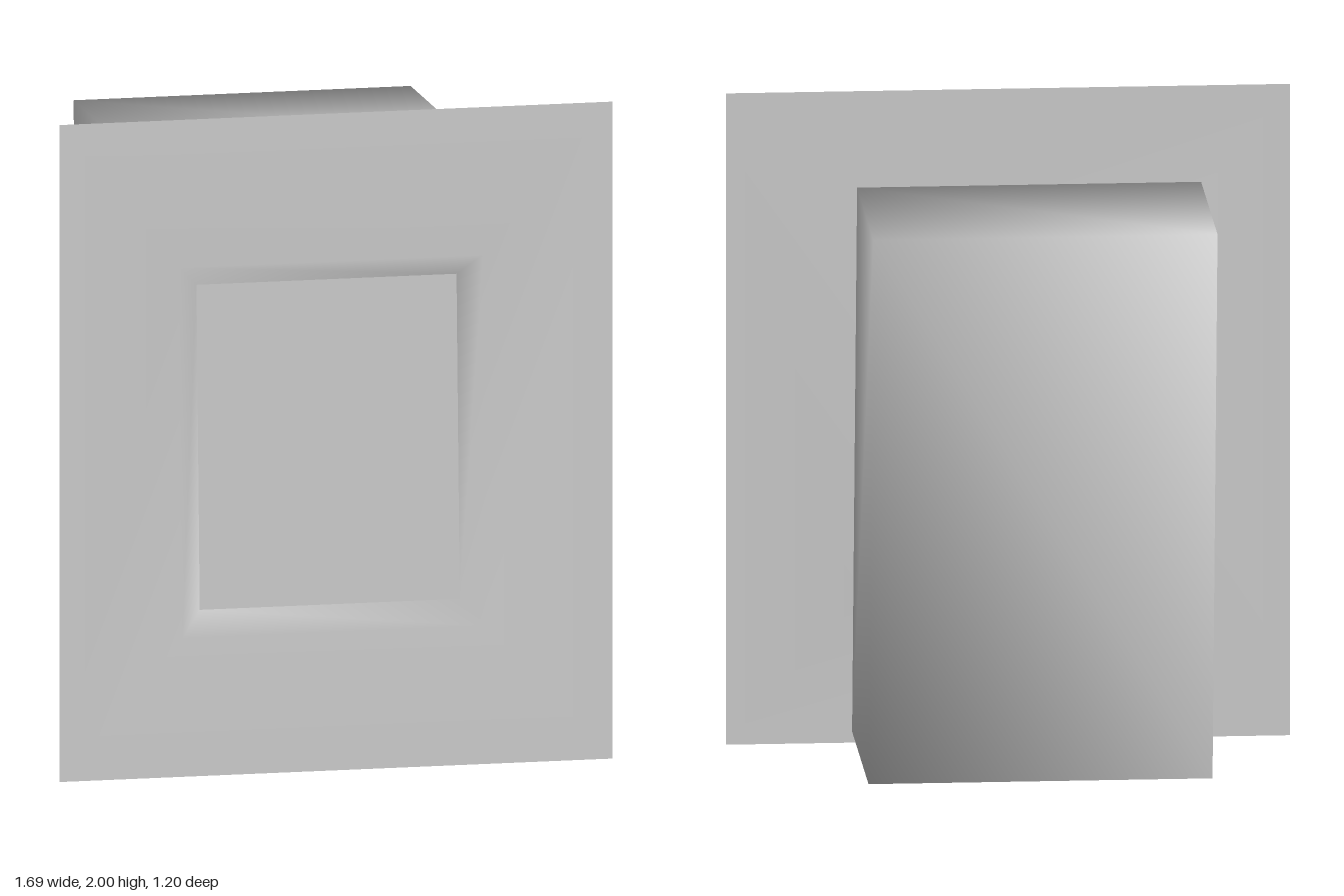
import * as THREE from 'three';

// Slightly sheared rectangle at depth z: the bottom edge is shifted by skew along x.
function ring(x0, x1, y0, y1, z, skew = 0) {
  return [[x0 + skew, y0, z], [x1 + skew, y0, z], [x1, y1, z], [x0, y1, z]];
}

// Skin a run of four-cornered rings with shared vertices for soft shading.
function loft(name, rings, { capFront = false, capBack = false, side = THREE.FrontSide } = {}) {
  const index = [];
  for (let r = 0; r < rings.length - 1; r++) {
    for (let j = 0; j < 4; j++) {
      const k = (j + 1) % 4;
      const a = r * 4 + j, b = r * 4 + k, c = b + 4, d = a + 4;
      index.push(a, d, c, a, c, b);
    }
  }
  if (capFront) index.push(0, 1, 2, 0, 2, 3);
  if (capBack) {
    const n = (rings.length - 1) * 4;
    index.push(n, n + 2, n + 1, n, n + 3, n + 2);
  }
  const geometry = new THREE.BufferGeometry();
  geometry.setAttribute('position', new THREE.Float32BufferAttribute(rings.flat(2), 3));
  geometry.setIndex(index);
  geometry.computeVertexNormals();
  const mesh = new THREE.Mesh(geometry, new THREE.MeshStandardMaterial({ color: 0xcccccc, side }));
  mesh.name = name;
  return mesh;
}

export function createModel() {
  const group = new THREE.Group();
  group.name = 'wallBox';

  const neckFront = ring(-0.42, 0.375, 0.5, 1.49, 0.57, 0.01);

  // Thin front plate whose opening slopes back to the neck
  group.add(loft('frontPlate', [
    neckFront,
    ring(-0.48, 0.45, 0.42, 1.55, 0.6, 0.01),
    ring(-0.845, 0.845, 0, 2, 0.6),
  ], { side: THREE.DoubleSide }));

  // Flat panel set into the opening
  group.add(loft('recessedPanel', [neckFront], { capFront: true }));

  // Narrow neck behind the plate
  group.add(loft('neck', [
    neckFront,
    ring(-0.42, 0.375, 0.5, 1.49, 0.075, 0.01),
  ]));

  // Large housing at the back
  group.add(loft('rearHousing', [
    ring(-0.54, 0.49, 0.16, 1.83, 0.075, 0.015),
    ring(-0.54, 0.49, 0.16, 1.83, -0.6, 0.015),
  ], { capFront: true, capBack: true }));

  return group;
}
